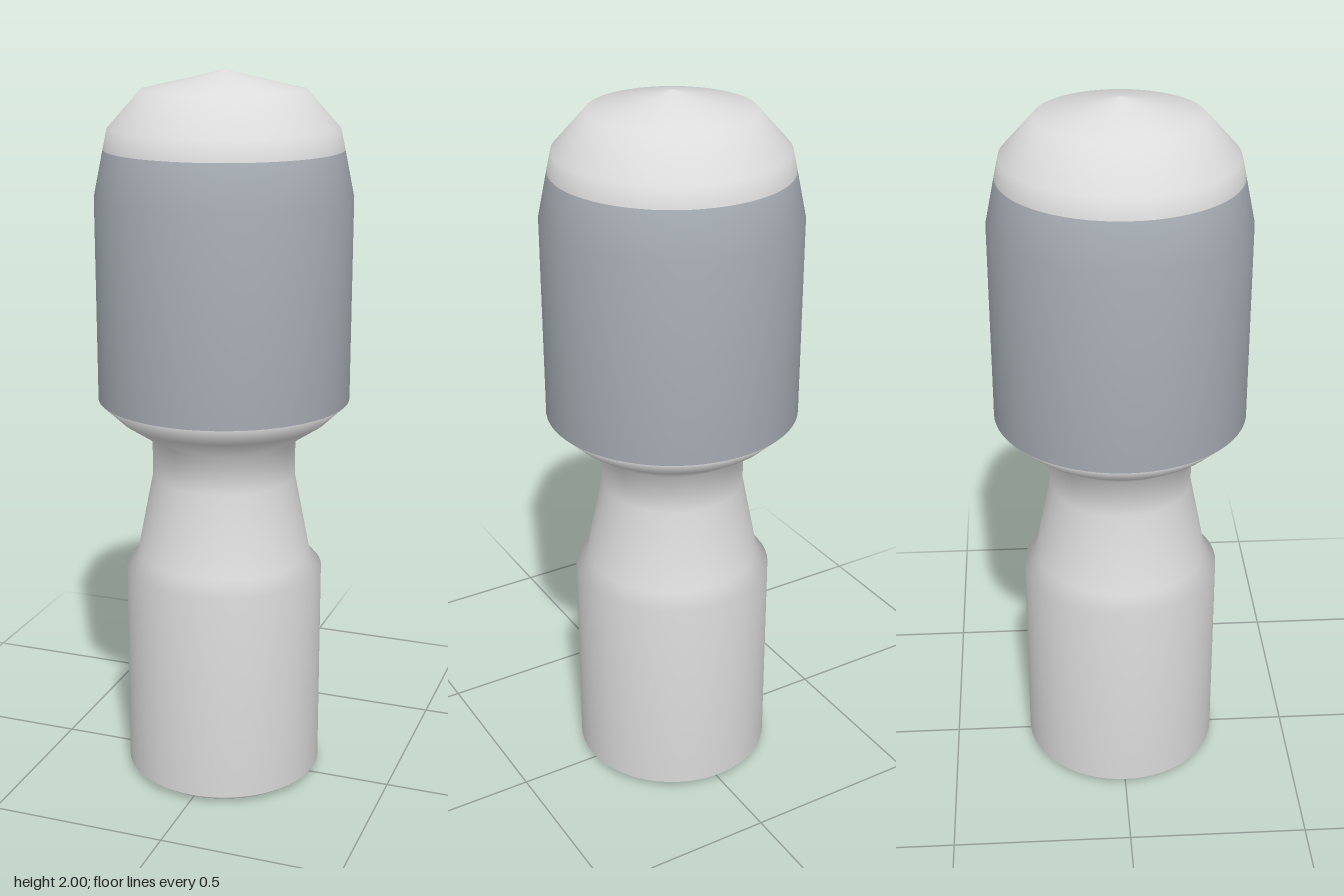
import * as THREE from 'three';

const SEGMENTS = 64;

// Radius and height of the turned outline, from the base up to the tip
const PROFILE = [
  [0, 0], [0.25, 0], [0.278, 0.02], [0.278, 0.62], [0.245, 0.66],
  [0.2, 0.89], [0.2, 1.0], [0.29, 1.06], [0.348, 1.115],
  [0.348, 1.67], [0.322, 1.795], [0.31, 1.85], [0.22, 1.95], [0, 2],
];

export function createModel() {
  const light = new THREE.MeshStandardMaterial({ color: 0xdcdcdc });
  light.name = 'light grey';
  const grey = new THREE.MeshStandardMaterial({ color: 0xa9b0b7 });
  grey.name = 'blue grey';

  const lathe = new THREE.LatheGeometry(PROFILE.map(([r, y]) => new THREE.Vector2(r, y)), SEGMENTS);
  const rows = PROFILE.length - 1;
  const group = new THREE.Group();
  group.name = 'turnedPeg';

  // Takes the rows of the lathe between two profile points, keeping the smooth normals
  function addPart(name, from, to, material) {
    const all = Array.from(lathe.index.array);
    const index = [];
    for (let i = 0; i < SEGMENTS; i++) {
      index.push(...all.slice((i * rows + from) * 6, (i * rows + to) * 6));
    }
    const geometry = lathe.clone();
    geometry.setIndex(index);
    const mesh = new THREE.Mesh(geometry, material);
    mesh.name = name;
    group.add(mesh);
  }

  addPart('base', 0, 4, light);
  addPart('neck', 4, 6, light);
  addPart('collar', 6, 8, light);
  addPart('band', 8, 10, grey);
  addPart('dome', 10, 13, light);
  return group;
}
